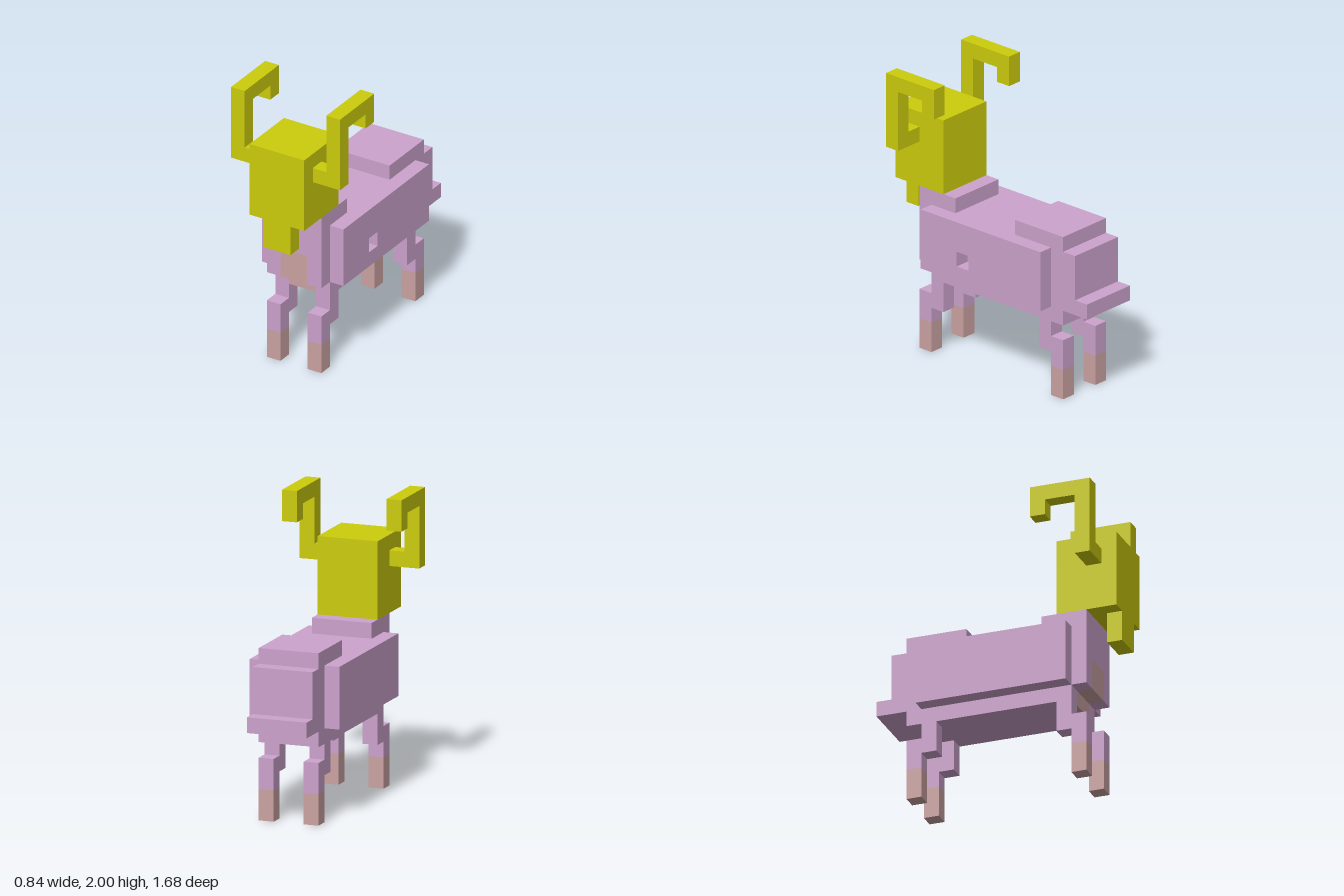
import * as THREE from 'three';

const U = 2 / 19; // one block; the model is 19 blocks tall

export function createModel() {
  const mat = (name, color) => {
    const m = new THREE.MeshStandardMaterial({ color });
    m.name = name;
    return m;
  };
  const yellow = mat('yellow', 0xcccc0c);
  const pink = mat('pink', 0xcca3cc);
  const brown = mat('brown', 0xcca3a3);

  const model = new THREE.Group();
  model.name = 'hornedAnimal';

  const group = (name) => {
    const g = new THREE.Group();
    g.name = name;
    model.add(g);
    return g;
  };

  // Box from ranges given in blocks
  const box = (parent, name, material, [x0, x1], [y0, y1], [z0, z1]) => {
    const geo = new THREE.BoxGeometry((x1 - x0) * U, (y1 - y0) * U, (z1 - z0) * U);
    geo.translate((x0 + x1) / 2 * U, (y0 + y1) / 2 * U, (z0 + z1) / 2 * U);
    const mesh = new THREE.Mesh(geo, material);
    mesh.name = name;
    parent.add(mesh);
  };
  const side = (s, a, b) => (s > 0 ? [a, b] : [-b, -a]);

  // Torso
  const body = group('body');
  box(body, 'torso', pink, [-2, 2], [6, 10], [-6, 5]);
  box(body, 'belly', pink, [-2, 2], [5, 6], [-6, 4]);
  box(body, 'chestTop', pink, [-2, 2], [8, 10], [5, 6]);
  box(body, 'neck', pink, [-2, 2], [10, 11], [3, 6]);
  box(body, 'backHump', pink, [-2, 2], [10, 11], [-6, -2]);
  box(body, 'rump', pink, [-2, 2], [7, 10], [-7, -6]);
  box(body, 'tail', pink, [-2, 2], [6, 7], [-8, -6]);

  // Brown chest patch, stepping in under the body
  box(body, 'chestPatch', brown, [-1, 1], [6, 8], [5, 6]);
  box(body, 'lowerChestPatch', brown, [-1, 1], [5, 6], [4, 5]);

  // Flank with a square recess on the left, plain on the right
  const rect = (path, z0, z1, y0, y1) => {
    path.moveTo(z0 * U, y0 * U);
    path.lineTo(z1 * U, y0 * U);
    path.lineTo(z1 * U, y1 * U);
    path.lineTo(z0 * U, y1 * U);
    path.closePath();
    return path;
  };
  const flankShape = rect(new THREE.Shape(), -5, 5, 6, 10);
  flankShape.holes.push(rect(new THREE.Path(), 1, 2, 7, 8));
  const flankGeo = new THREE.ExtrudeGeometry(flankShape, { depth: U, bevelEnabled: false });
  flankGeo.rotateY(-Math.PI / 2).translate(3 * U, 0, 0);
  const flank = new THREE.Mesh(flankGeo, pink);
  flank.name = 'leftFlank';
  body.add(flank);
  box(body, 'rightFlank', pink, [-3, -2], [6, 10], [-5, 5]);

  // Head and muzzle
  const head = group('head');
  box(head, 'skull', yellow, [-2, 2], [11, 16], [4, 8]);
  box(head, 'muzzle', yellow, [-1, 1], [9, 11], [7, 8]);

  for (const s of [1, -1]) {
    const label = s > 0 ? 'left' : 'right';
    const inner = side(s, 1, 2);
    const outer = side(s, 3, 4);

    box(body, label + 'Chest', pink, inner, [6, 8], [5, 6]);
    box(body, label + 'LowerChest', pink, inner, [5, 6], [4, 5]);

    // Hooked horn
    const horn = group(label + 'Horn');
    box(horn, 'hornRoot', yellow, side(s, 2, 3), [14, 15], [6, 7]);
    box(horn, 'hornPost', yellow, outer, [14, 18], [6, 7]);
    box(horn, 'hornTop', yellow, outer, [18, 19], [3, 7]);
    box(horn, 'hornTip', yellow, outer, [17, 18], [3, 4]);

    // Stepped legs with brown feet
    for (const f of [1, -1]) {
      const leg = group(label + (f > 0 ? 'FrontLeg' : 'BackLeg'));
      box(leg, 'upperLeg', pink, inner, [3, 5], side(f, 4, 5));
      box(leg, 'lowerLeg', pink, inner, [2, 4], side(f, 5, 6));
      box(leg, 'foot', brown, inner, [0, 2], side(f, 5, 6));
    }
  }
  return model;
}
